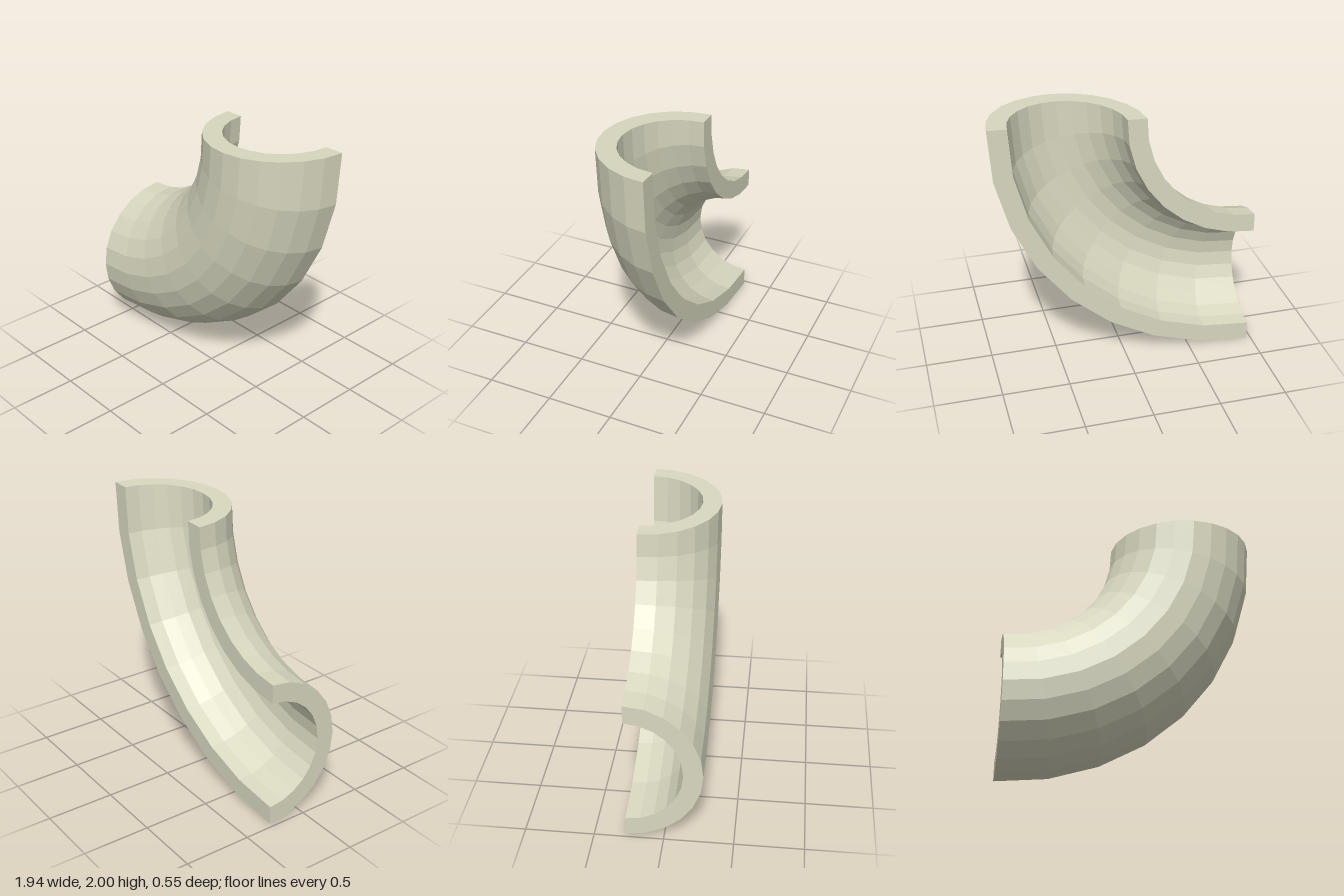
import * as THREE from 'three';

const BEND = 1.386;                              // bend radius of the pipe's centre line
const OUTER = 0.553, INNER = 0.413;              // pipe radii
const SWEEP = THREE.MathUtils.degToRad(91.8);
const BEND_SEGMENTS = 8, ARC_SEGMENTS = 12;
const CENTRE = new THREE.Vector3(-0.968, BEND + OUTER, -OUTER / 2);

// Half circle in the (bend radius, depth) plane, running from far side to near side
function halfCircle(radius) {
  return Array.from({ length: ARC_SEGMENTS + 1 }, (_, i) => {
    const a = (Math.PI * i) / ARC_SEGMENTS;
    return new THREE.Vector2(BEND + radius * Math.cos(a), radius * Math.sin(a));
  });
}

// Flat end face of the half pipe at a given bend angle
function endFace(section, angle, flip) {
  const geometry = new THREE.ShapeGeometry(new THREE.Shape(section));
  const radial = new THREE.Vector3(Math.sin(angle), -Math.cos(angle), 0);
  const depth = new THREE.Vector3(0, 0, 1);
  geometry.applyMatrix4(new THREE.Matrix4().makeBasis(radial, depth, radial.clone().cross(depth)));
  if (flip) geometry.index.array.reverse();
  geometry.computeVertexNormals();
  return geometry;
}

export function createModel() {
  const group = new THREE.Group();
  group.name = 'halfPipeElbow';
  const material = new THREE.MeshStandardMaterial({ color: 0xd8d8c0, flatShading: true });

  const add = (name, geometry) => {
    const mesh = new THREE.Mesh(geometry, material);
    mesh.name = name;
    mesh.position.copy(CENTRE);
    group.add(mesh);
  };

  // C-shaped wall section: outer arc, then back along the inner arc
  const section = [...halfCircle(OUTER), ...halfCircle(INNER).reverse()];

  // Wall with its two cut rims, swept around the bend axis
  const wall = new THREE.LatheGeometry([...section, section[0].clone()], BEND_SEGMENTS, 0, SWEEP);
  wall.rotateX(Math.PI / 2);
  add('pipeWall', wall);

  // Faces closing both ends of the wall
  add('lowerEndFace', endFace(section, 0, false));
  add('upperEndFace', endFace(section, SWEEP, true));

  return group;
}
